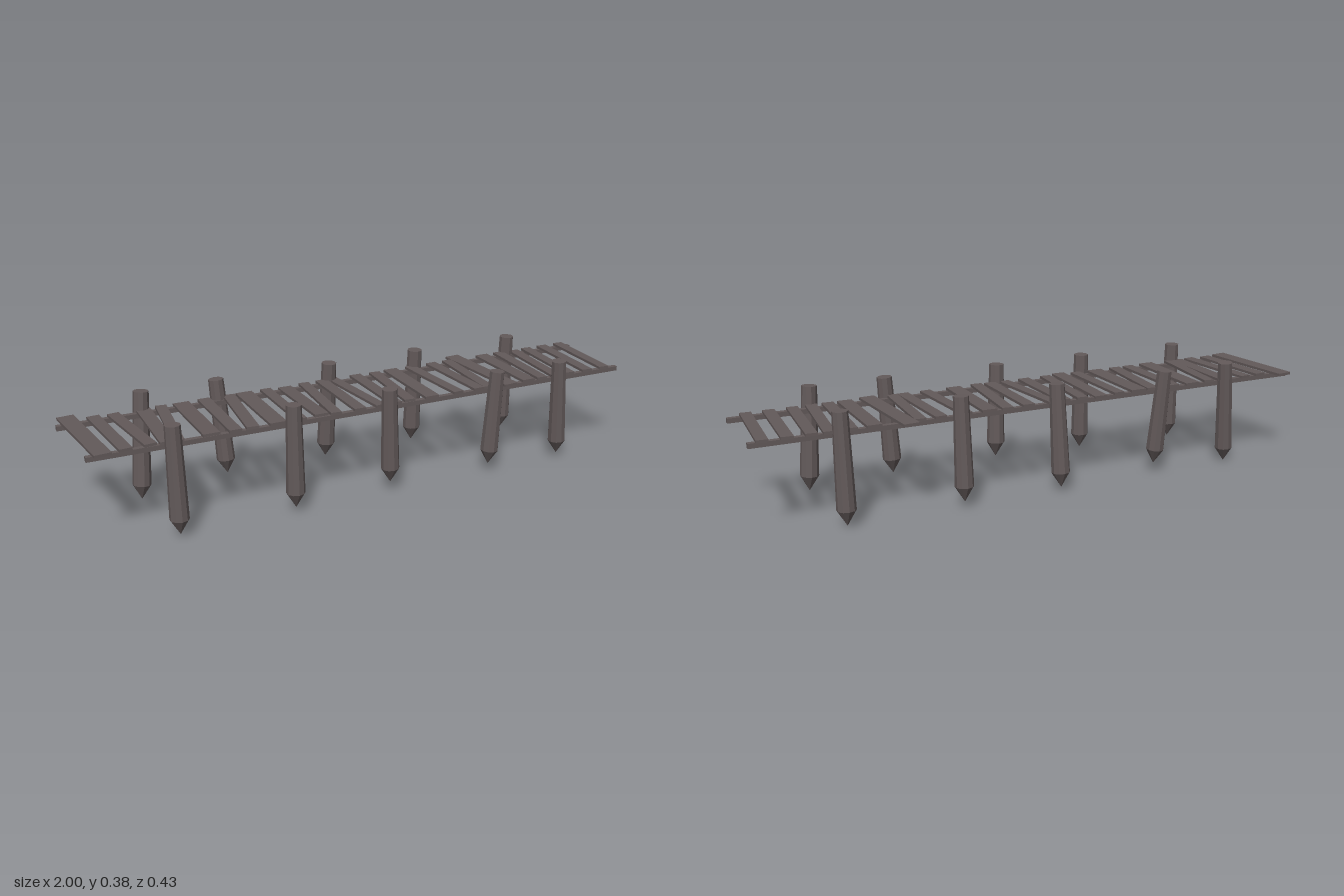
import * as THREE from 'three';

export function createModel() {
  const group = new THREE.Group();
  const wood = new THREE.MeshStandardMaterial({ color: 0x625959, flatShading: true });
  wood.name = 'weathered wood';

  const add = (geometry, name) => {
    const mesh = new THREE.Mesh(geometry, wood);
    mesh.name = name;
    group.add(mesh);
    return mesh;
  };

  // Sharpened posts: [tip x, tip y, tip z, top x, top z]
  const posts = [
    [-0.74, 0, -0.147, -0.712, -0.167],
    [-0.43, 0.037, -0.15, -0.45, -0.172],
    [-0.04, 0.018, -0.183, -0.03, -0.163],
    [0.315, 0.022, -0.178, 0.318, -0.165],
    [0.713, 0.006, -0.172, 0.717, -0.162],
    [-0.707, 0.01, 0.182, -0.71, 0.175],
    [-0.31, 0.02, 0.18, -0.31, 0.176],
    [0.045, 0.038, 0.17, 0.035, 0.177],
    [0.438, 0.033, 0.172, 0.457, 0.177],
    [0.74, 0.017, 0.166, 0.718, 0.177],
  ];
  const up = new THREE.Vector3(0, 1, 0);
  for (const [bx, by, bz, tx, tz] of posts) {
    const tip = new THREE.Vector3(bx, by, bz);
    const axis = new THREE.Vector3(tx, 0.379, tz).sub(tip);
    const length = axis.length();
    const profile = [[0, 0], [0.032, 0.053], [0.026, length], [0, length]];
    const post = add(new THREE.LatheGeometry(profile.map(p => new THREE.Vector2(...p)), 10), 'post');
    post.position.copy(tip);
    post.quaternion.setFromUnitVectors(up, axis.normalize());
  }

  // Long beams under the deck
  for (const [x0, z] of [[-1, -0.147], [-0.975, 0.146]]) {
    add(new THREE.BoxGeometry(1 - x0, 0.016, 0.018), 'beam').position.set((1 + x0) / 2, 0.303, z);
  }

  // Deck planks: [x at back end, x at front end, width, roll]
  const planks = [
    [-0.96, -0.925, 0.056, 0], [-0.878, -0.852, 0.042, 0], [-0.812, -0.775, 0.04, 0.01],
    [-0.712, -0.722, 0.048, 0], [-0.65, -0.688, 0.038, 0], [-0.58, -0.58, 0.056, 0.01],
    [-0.5, -0.5, 0.042, 0], [-0.41, -0.442, 0.042, 0], [-0.355, -0.355, 0.058, 0],
    [-0.275, -0.275, 0.038, 0], [-0.203, -0.203, 0.048, 0.025], [-0.13, -0.15, 0.038, 0],
    [-0.062, -0.062, 0.042, 0], [-0.018, 0.015, 0.036, 0], [0.072, 0.072, 0.042, 0],
    [0.15, 0.125, 0.04, 0.01], [0.215, 0.212, 0.052, 0], [0.295, 0.317, 0.038, 0],
    [0.385, 0.4, 0.04, 0], [0.455, 0.438, 0.038, 0], [0.498, 0.525, 0.054, 0],
    [0.607, 0.607, 0.05, 0], [0.682, 0.665, 0.04, 0], [0.752, 0.722, 0.038, 0.01],
    [0.808, 0.785, 0.038, 0], [0.882, 0.863, 0.04, 0], [0.958, 0.938, 0.038, 0],
  ];
  planks.forEach(([back, front, width, roll], i) => {
    const wide = i === 0 || i === 20; // these two overhang the back beam
    const length = wide ? 0.37 : 0.32;
    const plank = add(new THREE.BoxGeometry(width, 0.009, length), 'plank');
    plank.position.set((back + front) / 2, 0.3155, wide ? -0.015 : -0.003);
    plank.rotation.set(-roll, Math.atan2(front - back, length), 0, 'YXZ');
  });

  return group;
}
